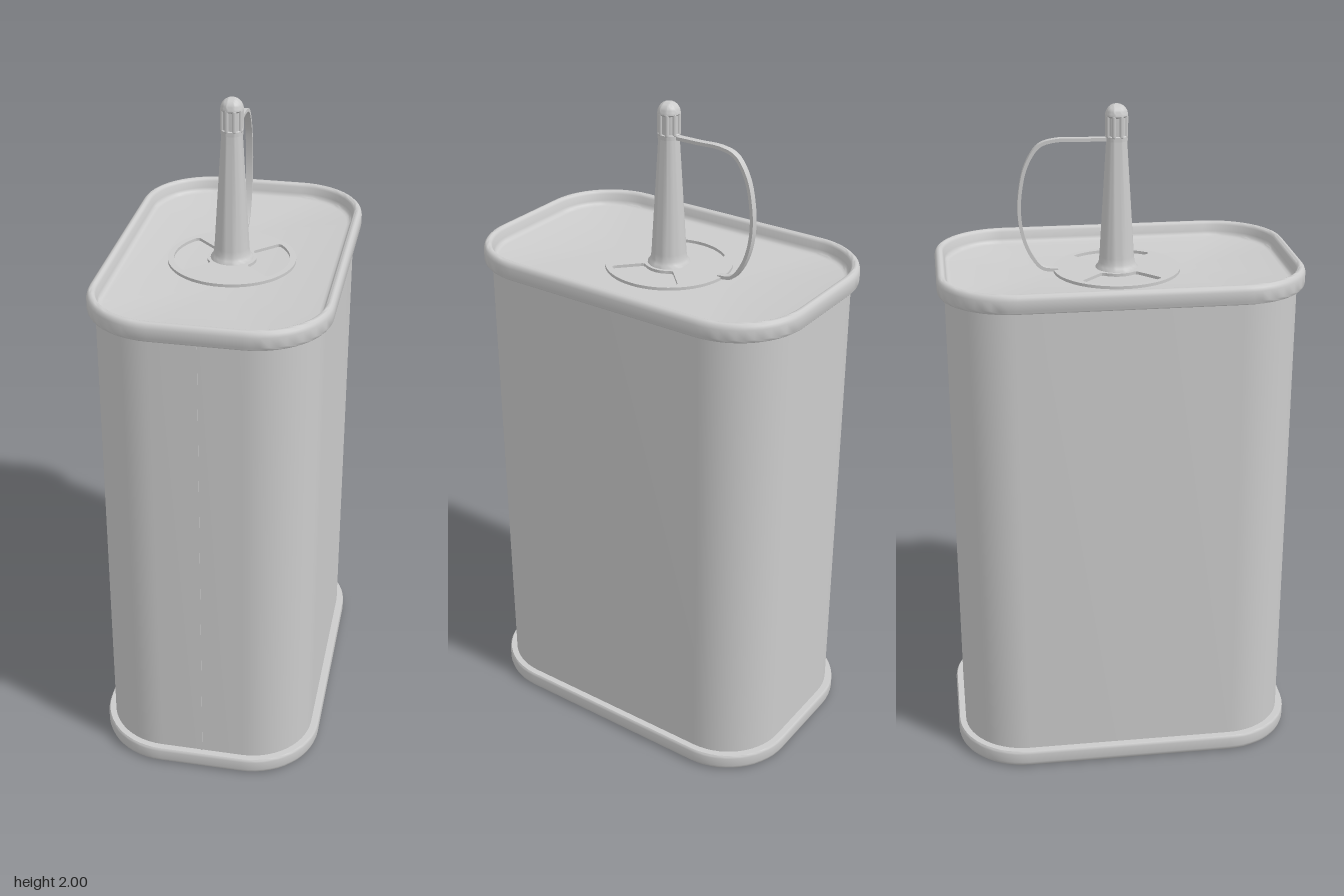
import * as THREE from 'three';
import { toCreasedNormals } from 'three/addons/utils/BufferGeometryUtils.js';

const HX = 0.343, HZ = 0.533, R = 0.215; // outer half sizes and corner radius
const RIM_TOP = 1.555, PANEL = 1.51;
const material = new THREE.MeshStandardMaterial({ color: 0xcccccc });

function add(group, name, geometry) {
  const mesh = new THREE.Mesh(geometry, material);
  mesh.name = name;
  group.add(mesh);
  return mesh;
}

// One rounded-rectangle ring, inset by d, at height y
function ring(d, y) {
  const r = Math.max(R - d, 0), cx = HX - d - r, cz = HZ - d - r, n = 14, pts = [];
  [[1, 1], [-1, 1], [-1, -1], [1, -1]].forEach(([sx, sz], q) => {
    for (let i = 0; i <= n; i++) {
      const a = (q + i / n) * Math.PI / 2;
      pts.push(sx * cx + r * Math.cos(a), y, sz * cz + r * Math.sin(a));
    }
  });
  return pts;
}

// Sweep an [inset, height] profile around the can
function sweep(profile) {
  const rings = profile.map(([d, y]) => ring(d, y));
  const n = rings[0].length / 3, index = [];
  for (let i = 0; i < rings.length - 1; i++) {
    for (let j = 0; j < n; j++) {
      const k = (j + 1) % n;
      const a = i * n + j, b = a + n, c = (i + 1) * n + k, d = i * n + k;
      index.push(a, b, c, a, c, d);
    }
  }
  const g = new THREE.BufferGeometry();
  g.setAttribute('position', new THREE.Float32BufferAttribute(rings.flat(), 3));
  g.setIndex(index);
  return toCreasedNormals(g, 0.75);
}

function lathe(points, segments = 40) {
  const g = new THREE.LatheGeometry(points.map(([x, y]) => new THREE.Vector2(x, y)), segments);
  return toCreasedNormals(g, 0.7);
}

// Pie-slice window with rounded corners, centred on direction mid
function windowPath(mid) {
  const inner = 0.072, outer = 0.17, half = 0.76, f = 0.012;
  const at = (r, a) => [r * Math.cos(mid + a), r * Math.sin(mid + a)];
  const p = new THREE.Path();
  p.moveTo(...at(inner + f, -half));
  p.lineTo(...at(outer - f, -half));
  p.quadraticCurveTo(...at(outer, -half), ...at(outer, -half + f / outer));
  p.absarc(0, 0, outer, mid - half + f / outer, mid + half - f / outer, false);
  p.quadraticCurveTo(...at(outer, half), ...at(outer - f, half));
  p.lineTo(...at(inner + f, half));
  p.quadraticCurveTo(...at(inner, half), ...at(inner, half - f / inner));
  p.absarc(0, 0, inner, mid + half - f / inner, mid - half + f / inner, true);
  p.quadraticCurveTo(...at(inner, -half), ...at(inner + f, -half));
  return p;
}

export function createModel() {
  const can = new THREE.Group();
  can.name = 'oilCan';

  // Body wall and its front seam
  add(can, 'body', sweep([[0.023, 0.03], [0.023, 1.525]]));
  add(can, 'seam', new THREE.BoxGeometry(0.006, 1.46, 0.006))
    .position.set(0, RIM_TOP / 2, HZ - 0.024);

  // Rolled rims, each with its recessed end panel
  const rim = [
    [0.025, 1.5], [0.004, 1.5], [0.001, 1.504], [0, 1.51], [0, 1.538],
    [0.003, 1.548], [0.009, 1.554], [0.016, RIM_TOP], [0.022, 1.552], [0.026, 1.545],
    [0.029, 1.525], [0.032, 1.516], [0.037, 1.512], [0.045, PANEL], [HX, PANEL],
  ];
  add(can, 'topRim', sweep(rim));
  add(can, 'bottomRim', sweep(rim.map(([d, y]) => [d, RIM_TOP - y]).reverse()));

  // Spout base disc with two windows
  const disc = new THREE.Shape().absarc(0, 0, 0.188, 0, Math.PI * 2, false);
  disc.holes.push(windowPath(0), windowPath(Math.PI));
  const discGeo = new THREE.ExtrudeGeometry(disc, { depth: 0.01, bevelEnabled: false, curveSegments: 32 });
  discGeo.rotateX(-Math.PI / 2);
  add(can, 'spoutDisc', toCreasedNormals(discGeo, 0.6)).position.y = PANEL - 0.001;

  // Tapered spout with flared foot
  add(can, 'spout', lathe([
    [0.064, PANEL], [0.062, 1.522], [0.057, 1.528], [0.053, 1.537], [0.051, 1.555],
    [0.03, 1.9], [0, 1.9],
  ]));

  // Domed cap with grip ribs
  const cap = new THREE.Group();
  cap.name = 'cap';
  can.add(cap);
  const dome = [[0, 1.895], [0.032, 1.895], [0.032, 1.908], [0.028, 1.91], [0.028, 1.962], [0.033, 1.967]];
  for (let i = 1; i <= 8; i++) {
    const a = i / 8 * Math.PI / 2;
    dome.push([0.033 * Math.cos(a), 1.967 + 0.033 * Math.sin(a)]);
  }
  add(cap, 'capBody', lathe(dome));
  for (let i = 0; i < 8; i++) {
    const a = (i + 0.5) / 8 * Math.PI * 2;
    add(cap, 'capRib', new THREE.CapsuleGeometry(0.0065, 0.056, 4, 8))
      .position.set(0.0275 * Math.cos(a), 1.937, 0.0275 * Math.sin(a));
  }

  // Flat strap tying the cap to the disc, drawn in the side plane (back, up)
  const path = new THREE.CatmullRomCurve3([
    [0.02, 1.9], [0.1, 1.9], [0.18, 1.9], [0.225, 1.885], [0.262, 1.83], [0.281, 1.75], [0.284, 1.68],
    [0.272, 1.61], [0.247, 1.555], [0.22, 1.525], [0.175, 1.517],
  ].map(([u, y]) => new THREE.Vector3(u, y, 0)));
  const upper = [], lower = [];
  for (let i = 0; i <= 48; i++) {
    const p = path.getPoint(i / 48), t = path.getTangent(i / 48);
    upper.push(new THREE.Vector2(p.x - t.y * 0.005, p.y + t.x * 0.005));
    lower.unshift(new THREE.Vector2(p.x + t.y * 0.005, p.y - t.x * 0.005));
  }
  const strapGeo = new THREE.ExtrudeGeometry(new THREE.Shape([...upper, ...lower]), { depth: 0.02, bevelEnabled: false });
  strapGeo.translate(0, 0, -0.01).rotateY(Math.PI / 2);
  add(can, 'capStrap', toCreasedNormals(strapGeo, 0.6));

  return can;
}
